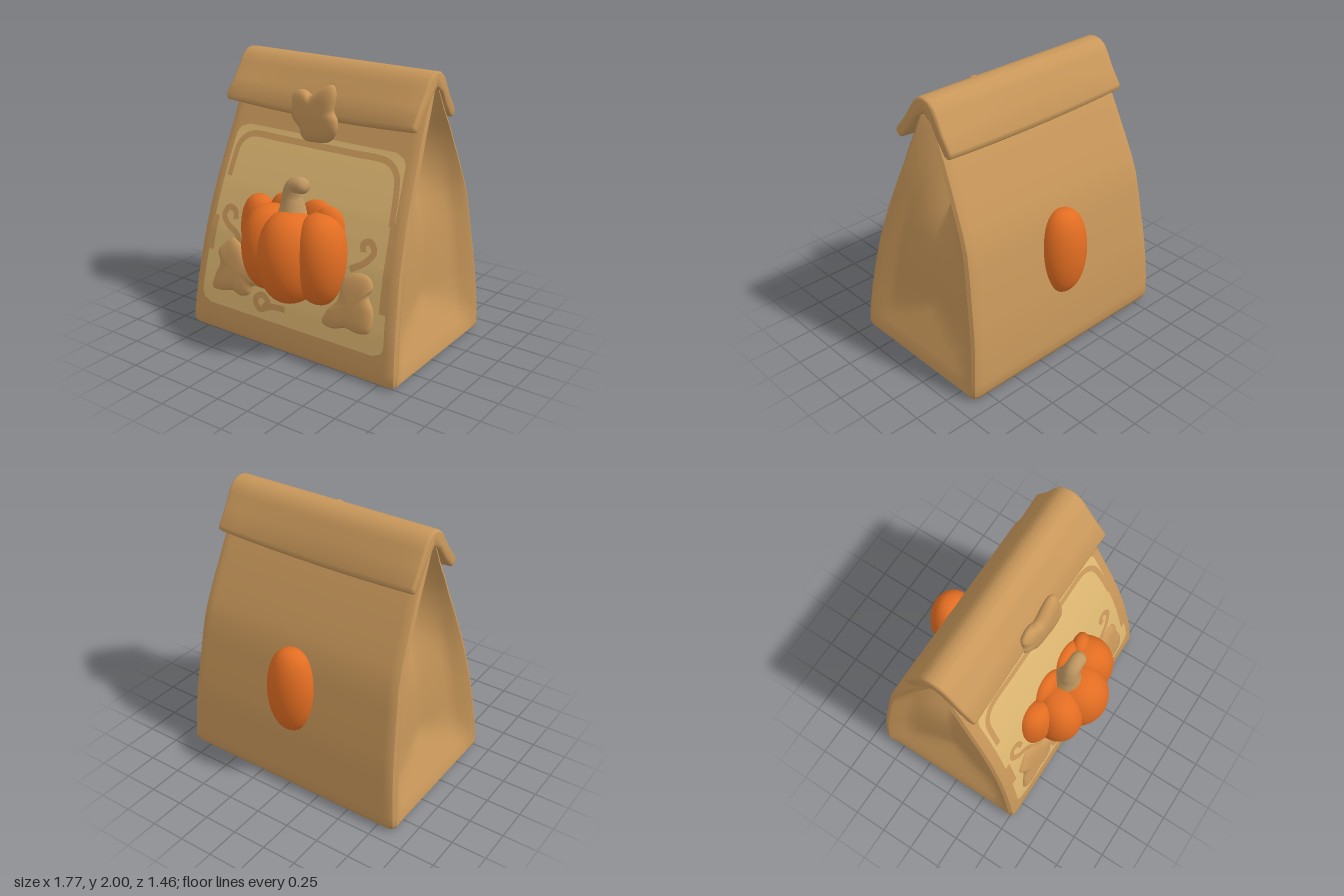
import * as THREE from 'three';
import { toCreasedNormals } from 'three/addons/utils/BufferGeometryUtils.js';

const paper = new THREE.MeshStandardMaterial({ name: 'kraft paper', color: 0xc8975a, side: THREE.DoubleSide });
const labelTan = new THREE.MeshStandardMaterial({ name: 'light tan label', color: 0xdfb872 });
const orange = new THREE.MeshStandardMaterial({ name: 'pumpkin orange', color: 0xe26d22 });
const stemTan = new THREE.MeshStandardMaterial({ name: 'stem tan', color: 0xc09760 });

// bag profile rows: y, half width, front z, back z, gusset depth
const PROFILE = [
  [0, 0.86, 0.49, -0.62, 0.15], [0.015, 0.878, 0.52, -0.645, 0.15], [0.05, 0.886, 0.532, -0.66, 0.15],
  [0.12, 0.882, 0.525, -0.658, 0.15], [0.2, 0.878, 0.515, -0.655, 0.15], [0.28, 0.872, 0.504, -0.65, 0.15],
  [0.36, 0.867, 0.492, -0.645, 0.15], [0.42, 0.862, 0.48, -0.638, 0.15], [0.48, 0.858, 0.468, -0.633, 0.148],
  [0.6, 0.85, 0.443, -0.615, 0.14], [0.76, 0.838, 0.405, -0.588, 0.135], [0.93, 0.827, 0.352, -0.56, 0.14],
  [1.08, 0.816, 0.299, -0.53, 0.17], [1.2, 0.808, 0.25, -0.487, 0.21], [1.34, 0.8, 0.19, -0.425, 0.25],
  [1.46, 0.792, 0.136, -0.37, 0.27], [1.6, 0.784, 0.08, -0.305, 0.27], [1.75, 0.775, 0.012, -0.225, 0.25],
  [1.87, 0.77, -0.045, -0.155, 0.22], [1.93, 0.765, -0.08, -0.12, 0.17],
];

function profileAt(y, column) {
  let i = 1;
  while (i < PROFILE.length - 1 && PROFILE[i][0] < y) i++;
  const a = PROFILE[i - 1], b = PROFILE[i];
  return THREE.MathUtils.lerp(a[column], b[column], (y - a[0]) / (b[0] - a[0]));
}
const onFront = (x, y, lift) => new THREE.Vector3(x, y, profileAt(y, 2) + lift);

// skin over a list of point rows; closed rows run counterclockwise about the advance
function loft(rows, closed = true) {
  const n = rows[0].length, index = [];
  for (let i = 0; i < rows.length - 1; i++) {
    for (let j = 0; j < (closed ? n : n - 1); j++) {
      const k = (j + 1) % n;
      const a = i * n + j, b = i * n + k, c = (i + 1) * n + k, d = (i + 1) * n + j;
      index.push(a, b, c, a, c, d);
    }
  }
  const g = new THREE.BufferGeometry().setFromPoints(rows.flat());
  g.setIndex(index);
  g.computeVertexNormals();
  return g;
}

// fold of a side panel: rimmed low down, a V higher up, cut by a sloping triangle at the base
function sideFold(u, y) {
  const t = 1 - Math.abs(2 * u - 1);
  const rimmed = 0.4 * THREE.MathUtils.smoothstep(t, 0, 0.3) + 0.6 * t;
  const shape = THREE.MathUtils.lerp(rimmed, t, THREE.MathUtils.smoothstep(y, 0.9, 1.4));
  return Math.min(shape, y / 0.42);
}

// one horizontal loop of the bag, with rounded corners and folded sides
function bagLoop([y, w, zf, zb, gusset]) {
  const r = Math.min(0.04, (zf - zb) / 4), half = [];
  for (const f of [0.3, 0.65, 0.95]) half.push([(w - r) * f, zf]);
  half.push([w - r, zf], [w - 0.3 * r, zf - 0.3 * r], [w, zf - r]);
  for (let k = 1; k < 20; k++) {
    const u = k / 20;
    half.push([w - gusset * sideFold(u, y), THREE.MathUtils.lerp(zf - r, zb + r, u)]);
  }
  half.push([w, zb + r], [w - 0.3 * r, zb + 0.3 * r], [w - r, zb]);
  for (const f of [0.95, 0.65, 0.3]) half.push([(w - r) * f, zb]);
  const mirrored = half.map(([x, z]) => [-x, z]).reverse();
  return [...half, ...mirrored].map(([x, z]) => new THREE.Vector3(x, y, z));
}

// flat ribbon painted along a path on the front panel
function ribbon(points, width, lift = 0.011) {
  const curve = new THREE.CatmullRomCurve3(points.map(([x, y]) => new THREE.Vector3(x, y, 0)));
  const rows = [], steps = points.length * 8;
  for (let i = 0; i <= steps; i++) {
    const p = curve.getPoint(i / steps), t = curve.getTangent(i / steps);
    rows.push([1, -1].map(s => onFront(p.x - s * t.y * width / 2, p.y + s * t.x * width / 2, lift)));
  }
  return loft(rows, false);
}

// puffy leaf: an outline shrunk toward its centre in front and behind
function leafGeometry(outline, [cx, cy], depth, place) {
  const curve = new THREE.CatmullRomCurve3(outline.map(([x, y]) => new THREE.Vector3(x, y, 0)), true);
  const pts = curve.getPoints(72).slice(0, -1);
  if (THREE.ShapeUtils.isClockWise(pts)) pts.reverse();
  const rows = [];
  for (let k = 0; k <= 14; k++) {
    const a = (k / 14 - 0.5) * Math.PI;
    const s = Math.pow(Math.max(Math.cos(a), 0), 0.45);
    rows.push(pts.map(p => place(cx + (p.x - cx) * s, cy + (p.y - cy) * s, depth * Math.sin(a))));
  }
  return loft(rows);
}

// sphere with fuller shoulders
function lobeGeometry() {
  const g = new THREE.SphereGeometry(1, 40, 28), p = g.attributes.position;
  for (let i = 0; i < p.count; i++) {
    const f = Math.pow(Math.max(Math.hypot(p.getX(i), p.getZ(i)), 1e-4), -0.2);
    p.setXYZ(i, p.getX(i) * f, p.getY(i), p.getZ(i) * f);
  }
  g.computeVertexNormals();
  return g;
}

export function createModel() {
  const model = new THREE.Group();
  const add = (name, geometry, material, parent = model) => {
    const mesh = new THREE.Mesh(geometry, material);
    mesh.name = name;
    parent.add(mesh);
    return mesh;
  };

  // bag body and its flat base
  const loops = PROFILE.map(bagLoop);
  add('bagBody', toCreasedNormals(loft(loops), 0.7), paper);
  const base = loops[0].map(() => new THREE.Vector3(0, 0, -0.065));
  add('bagBase', loft([base, loops[0]]), paper);

  // folded top flap with rounded lips
  const fold = new THREE.Shape([
    [0.17, 1.695], [0.085, 1.795], [0.012, 1.9], [-0.02, 1.945], [-0.06, 1.974], [-0.1, 1.98], [-0.14, 1.972],
    [-0.178, 1.945], [-0.207, 1.9], [-0.258, 1.805], [-0.328, 1.705], [-0.33, 1.69], [-0.318, 1.68],
    [-0.298, 1.688], [-0.237, 1.77], [-0.18, 1.865], [-0.1, 1.92], [-0.02, 1.865], [0.06, 1.76],
    [0.134, 1.68], [0.15, 1.67], [0.168, 1.677],
  ].map(([z, y]) => new THREE.Vector2(z, y)));
  const flap = new THREE.ExtrudeGeometry(fold, {
    depth: 1.52, steps: 12, bevelThickness: 0.02, bevelSize: 0.02, bevelSegments: 4,
  });
  flap.translate(0, 0, -0.76).rotateY(-Math.PI / 2);
  // lips sag and draw in a little toward the middle
  const fp = flap.attributes.position;
  for (let i = 0; i < fp.count; i++) {
    const sag = (1 - (fp.getX(i) / 0.78) ** 2) * THREE.MathUtils.smoothstep(-fp.getY(i), -1.9, -1.65);
    fp.setY(i, fp.getY(i) - 0.03 * sag);
    fp.setZ(i, fp.getZ(i) - 0.015 * sag * Math.sign(fp.getZ(i) + 0.1));
  }
  add('topFlap', toCreasedNormals(flap, 1.1), paper);

  // light label with rounded corners
  const rows = [], y0 = 0.21, y1 = 1.49, corner = 0.09;
  for (let i = 0; i <= 48; i++) {
    const y = THREE.MathUtils.lerp(y0, y1, i / 48);
    const d = Math.max(0, corner - Math.min(y - y0, y1 - y));
    const w = profileAt(y, 1) - 0.085 - corner + Math.sqrt(corner * corner - d * d);
    rows.push([onFront(-w, y, 0.006), onFront(w, y, 0.006)]);
  }
  add('frontLabel', loft(rows, false), labelTan);

  // border line and curling vines on the label
  add('labelBorder', ribbon([
    [-0.685, 1.13], [-0.675, 1.25], [-0.655, 1.36], [-0.58, 1.425], [-0.3, 1.435], [0, 1.435], [0.3, 1.435],
    [0.58, 1.425], [0.66, 1.36], [0.69, 1.25], [0.71, 1.05],
  ], 0.042), paper);
  add('labelBorderLeftEdge', ribbon([[0.728, 1.08], [0.738, 0.9], [0.744, 0.7], [0.752, 0.5]], 0.055), paper);
  add('labelBorderRightEdge', ribbon([[-0.73, 0.85], [-0.74, 0.72], [-0.745, 0.6]], 0.05), paper);
  const vines = [
    [[-0.47, 0.65], [-0.52, 0.75], [-0.61, 0.8], [-0.66, 0.86], [-0.63, 0.92], [-0.57, 0.91], [-0.55, 0.85]],
    [[0.46, 0.73], [0.58, 0.81], [0.62, 0.88], [0.58, 0.93], [0.53, 0.91], [0.54, 0.86]],
    [[-0.03, 0.33], [-0.15, 0.32], [-0.25, 0.28], [-0.29, 0.34], [-0.24, 0.385], [-0.18, 0.35], [-0.21, 0.3]],
  ];
  vines.forEach(v => add('vine', ribbon(v, 0.044), paper));

  // embossed leaves either side of the pumpkin
  const embossed = (x, y, z) => onFront(x, y, z + 0.005);
  add('rightLeaf', leafGeometry([
    [-0.62, 0.67], [-0.55, 0.72], [-0.47, 0.69], [-0.39, 0.6], [-0.26, 0.54], [-0.17, 0.49], [-0.21, 0.44],
    [-0.32, 0.43], [-0.35, 0.36], [-0.42, 0.33], [-0.5, 0.35], [-0.58, 0.33], [-0.69, 0.33], [-0.68, 0.42],
    [-0.64, 0.53], [-0.67, 0.61],
  ], [-0.48, 0.51], 0.04, embossed), paper);
  add('leftLeaf', leafGeometry([
    [0.42, 0.66], [0.52, 0.72], [0.62, 0.71], [0.655, 0.65], [0.63, 0.59], [0.68, 0.5], [0.67, 0.36],
    [0.59, 0.33], [0.48, 0.34], [0.38, 0.31], [0.29, 0.33], [0.32, 0.42], [0.4, 0.52],
  ], [0.51, 0.5], 0.04, embossed), paper);

  // leaf clasp on the flap
  add('leafClasp', leafGeometry([
    [-0.14, 1.81], [-0.09, 1.81], [-0.04, 1.785], [0.01, 1.81], [0.09, 1.865], [0.145, 1.875], [0.175, 1.82],
    [0.168, 1.74], [0.165, 1.7], [0.195, 1.65], [0.19, 1.565], [0.125, 1.49], [0.01, 1.465], [-0.09, 1.465],
    [-0.12, 1.5], [-0.13, 1.545], [-0.185, 1.6], [-0.21, 1.66], [-0.195, 1.71], [-0.195, 1.77],
  ], [0, 1.66], 0.047, (x, y, z) => new THREE.Vector3(x, y, 0.184 + z + 0.08 * x - 0.45 * (y - 1.62) ** 2)), paper);

  // pumpkin lobes: centre, radii, turn about y
  const pumpkin = new THREE.Group();
  pumpkin.name = 'pumpkin';
  model.add(pumpkin);
  const lobes = [
    [[0.02, 0.737, 0.49], [0.225, 0.325, 0.24], 0],
    [[-0.18, 0.75, 0.445], [0.185, 0.31, 0.215], -0.5],
    [[0.228, 0.75, 0.425], [0.195, 0.32, 0.215], 0.6],
    [[-0.345, 0.81, 0.36], [0.163, 0.262, 0.13], -0.3],
    [[0.25, 0.78, 0.36], [0.14, 0.325, 0.1], 0.3],
    [[-0.13, 0.82, 0.32], [0.18, 0.295, 0.1], 0],
    [[0.13, 0.82, 0.32], [0.18, 0.295, 0.1], 0],
    [[0, 0.785, -0.575], [0.182, 0.32, 0.155], 0],
  ];
  for (const [centre, radii, turn] of lobes) {
    const lobe = add('pumpkinLobe', lobeGeometry(), orange, pumpkin);
    lobe.position.set(...centre);
    lobe.scale.set(...radii);
    lobe.rotation.y = turn;
  }

  // curved, tapering stem with a rounded tip
  const stemPath = new THREE.CatmullRomCurve3([
    [-0.01, 1.0, 0.42], [-0.01, 1.08, 0.425], [-0.01, 1.16, 0.43], [0.015, 1.225, 0.435],
    [0.065, 1.245, 0.437], [0.09, 1.238, 0.437],
  ].map(p => new THREE.Vector3(...p)));
  const stem = new THREE.TubeGeometry(stemPath, 30, 1, 16);
  const pos = stem.attributes.position, v = new THREE.Vector3();
  for (let i = 0; i < pos.count; i++) {
    const t = Math.floor(i / 17) / 30, c = stemPath.getPointAt(t);
    const r = 0.055 + 0.06 * Math.pow(1 - t, 2.2);
    v.fromBufferAttribute(pos, i).sub(c).multiplyScalar(r).add(c);
    pos.setXYZ(i, v.x, v.y, v.z);
  }
  stem.computeVertexNormals();
  add('stem', stem, stemTan, pumpkin);
  add('stemTip', new THREE.SphereGeometry(0.056, 20, 14), stemTan, pumpkin).position.set(0.08, 1.241, 0.437);

  return model;
}
